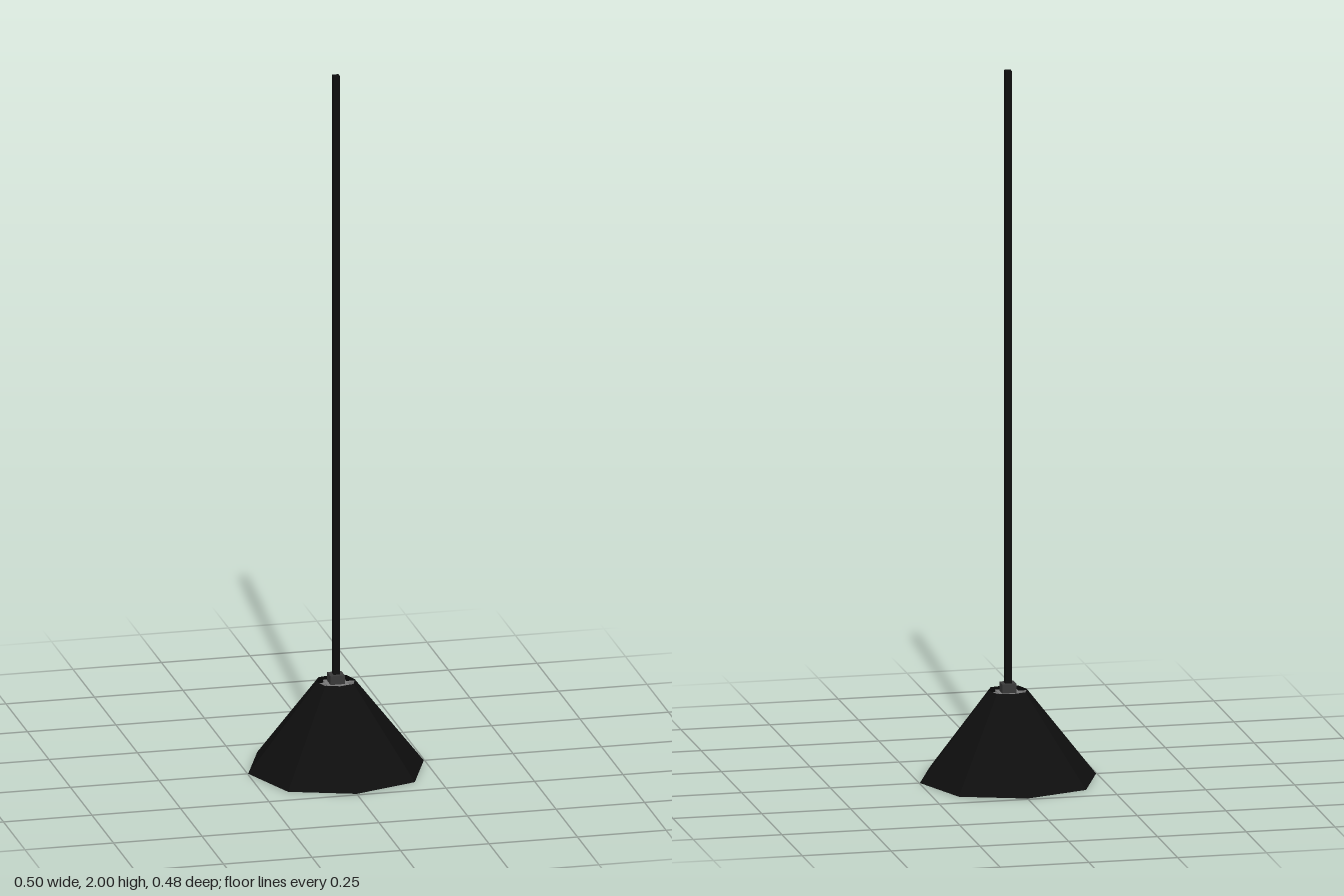
import * as THREE from 'three';

export function createModel() {
  const lamp = new THREE.Group();
  lamp.name = 'pendantLamp';

  const material = (name, color, side = THREE.FrontSide) => {
    const m = new THREE.MeshStandardMaterial({ color, side });
    m.flatShading = true;
    m.name = name;
    return m;
  };
  const black = material('black', 0x0e0e0e, THREE.DoubleSide);
  const darkGrey = material('darkGrey', 0x3a3a3a);
  const grey = material('grey', 0x787878);
  const white = material('warmWhite', 0xf2efe6);

  const add = (name, geometry, mat, x = 0, y = 0, z = 0) => {
    const mesh = new THREE.Mesh(geometry, mat);
    mesh.name = name;
    mesh.position.set(x, y, z);
    lamp.add(mesh);
    return mesh;
  };
  // Square-section block between two heights
  const block = (name, half, y0, y1, mat) =>
    add(name, new THREE.BoxGeometry(half * 2, y1 - y0, half * 2), mat, 0, (y0 + y1) / 2, 0);

  // Eight-sided shade, open at both ends, with slightly uneven corner radii
  const ring = (y, rx, diagonal, rz) => [
    [rx, y, 0], [diagonal, y, diagonal], [0, y, rz], [-diagonal, y, diagonal],
    [-rx, y, 0], [-diagonal, y, -diagonal], [0, y, -rz], [diagonal, y, -diagonal],
  ];
  const bottom = ring(0, 0.248, 0.179, 0.241);
  const top = ring(0.25, 0.053, 0.04, 0.051);
  const points = [];
  for (let i = 0; i < 8; i++) {
    const j = (i + 1) % 8;
    points.push(...bottom[i], ...top[i], ...top[j], ...bottom[i], ...top[j], ...bottom[j]);
  }
  const shade = new THREE.BufferGeometry();
  shade.setAttribute('position', new THREE.Float32BufferAttribute(points, 3));
  shade.computeVertexNormals();
  add('shade', shade, black);

  // Cable, collar and socket
  block('cable', 0.009, 0.265, 2, black);
  block('collar', 0.02, 0.24, 0.27, darkGrey);
  block('socket', 0.03, 0.19, 0.245, grey);

  // Four spokes joining the socket to the shade opening
  for (let i = 0; i < 4; i++) {
    const a = (i * Math.PI) / 2;
    const spoke = add('spoke', new THREE.BoxGeometry(0.027, 0.01, 0.01), grey,
      Math.cos(a) * 0.0395, 0.24, Math.sin(a) * 0.0395);
    spoke.rotation.y = -a;
  }

  // Small bulb hanging under the socket
  const profile = [[0, 0.128], [0.015, 0.134], [0.024, 0.15], [0.024, 0.168], [0.016, 0.19]]
    .map(([r, y]) => new THREE.Vector2(r, y));
  add('bulb', new THREE.LatheGeometry(profile, 8), white);

  return lamp;
}
